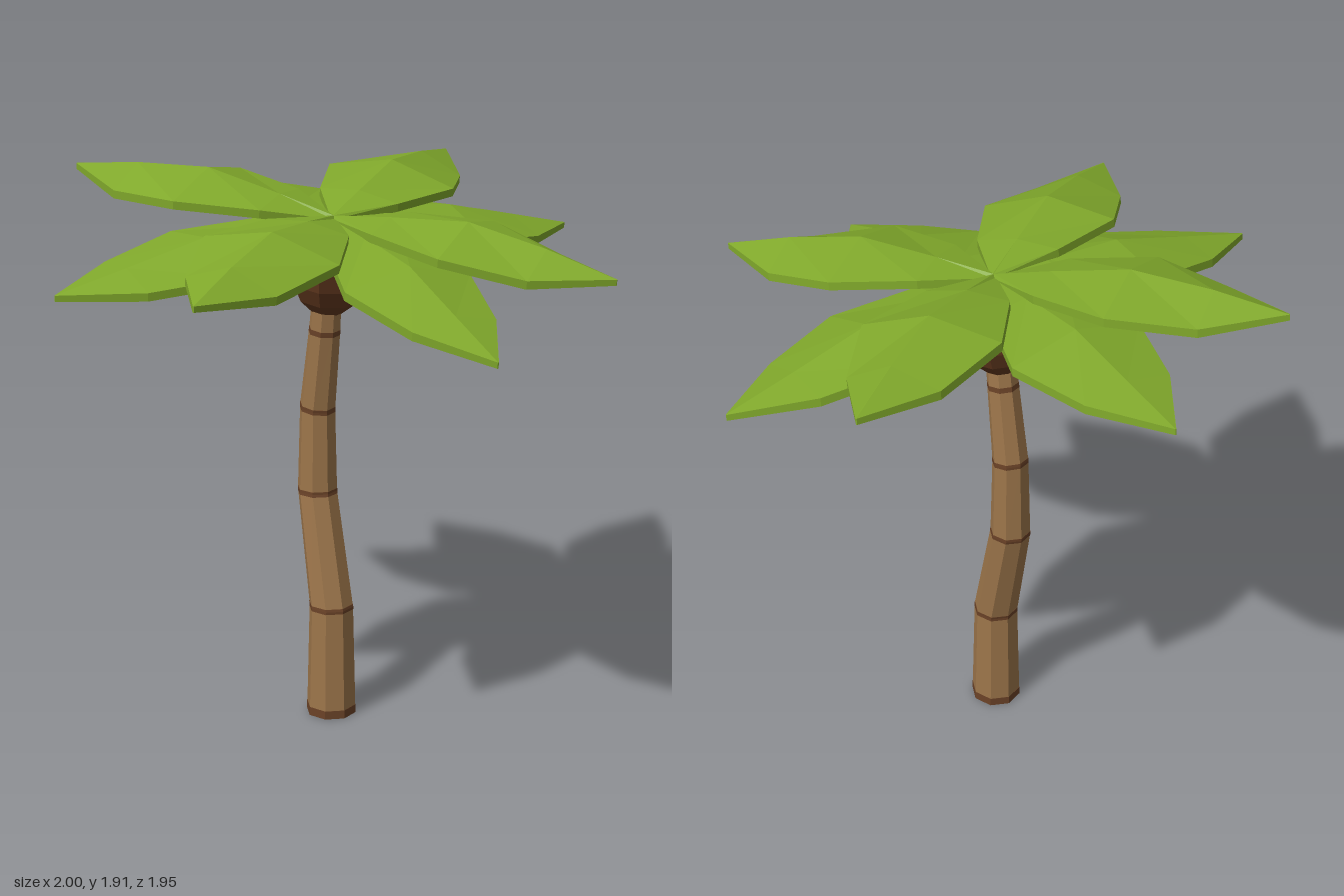
import * as THREE from 'three';

const mat = (color) => new THREE.MeshStandardMaterial({ color, flatShading: true });
const BARK = mat(0x9c754a), RING = mat(0x6a4227), CORE = mat(0x63391f), LEAF = mat(0x80a82b);

function addMesh(parent, name, geo, material) {
  const flat = geo.index ? geo.toNonIndexed() : geo;
  flat.computeVertexNormals();
  const mesh = new THREE.Mesh(flat, material);
  mesh.name = name;
  parent.add(mesh);
  return mesh;
}

// Trunk sections: height, centre z, radius, backward slope of the section
const TRUNK = [
  [0, 0.008, 0.088, 0],
  [0.4, 0.008, 0.078, 0],
  [0.8, -0.085, 0.07, 0],
  [1.1, -0.083, 0.062, 0.15],
  [1.38, -0.036, 0.054, 0.13],
  [1.52, -0.018, 0.05, 0.13],
];

// Section at any height, interpolated between the trunk sections
function sectionAt(y) {
  let i = 0;
  while (i < TRUNK.length - 2 && y > TRUNK[i + 1][0]) i++;
  const a = TRUNK[i], b = TRUNK[i + 1];
  const t = (y - a[0]) / (b[0] - a[0]);
  return a.map((v, k) => v + (b[k] - v) * t);
}

// Eight-sided column through a list of sections
function column(sections, grow = 1) {
  const n = sections.length - 1;
  const geo = new THREE.CylinderGeometry(1, 1, 1, 8, n);
  const p = geo.attributes.position;
  for (let i = 0; i < p.count; i++) {
    const [y, cz, r, slope] = sections[Math.round((p.getY(i) + 0.5) * n)];
    const z = p.getZ(i) * r * grow;
    p.setXYZ(i, p.getX(i) * r * grow - 0.008, y - z * slope, cz + z);
  }
  return geo;
}

// Leaf stations along its length: distance, half width
const STATIONS = [[0, 0.01], [0.2, 0.145], [0.47, 0.235], [0.74, 0.155], [0.98, 0.002]];

// Solid folded leaf pointing along +x, with a ridge line and lower side edges
function leaf(ridge, edge) {
  const pos = [], idx = [];
  STATIONS.forEach(([u, w], i) => {
    const thick = i === 4 ? 0.02 : 0.028;
    for (const drop of [0, thick])
      for (const s of [-1, 0, 1]) pos.push(u, (s ? edge[i] : ridge[i]) - drop, s * w);
  });
  const quad = (a, b, c, d) => idx.push(a, b, c, a, c, d);
  for (let i = 0; i < 4; i++) {
    const a = i * 6, b = a + 6;
    for (let j = 0; j < 2; j++) {
      quad(a + j, a + j + 1, b + j + 1, b + j); // top
      quad(b + j + 3, b + j + 4, a + j + 4, a + j + 3); // underside
    }
    quad(a + 2, a + 5, b + 5, b + 2); // side rims
    quad(b, b + 3, a + 3, a);
  }
  quad(0, 3, 4, 1); // ends
  quad(1, 4, 5, 2);
  quad(25, 28, 27, 24);
  quad(26, 29, 28, 25);
  const geo = new THREE.BufferGeometry();
  geo.setAttribute('position', new THREE.Float32BufferAttribute(pos, 3));
  geo.setIndex(idx);
  return geo;
}

export function createModel() {
  const palm = new THREE.Group();
  palm.name = 'palmTree';

  // Bent trunk with dark growth rings
  const trunk = new THREE.Group();
  trunk.name = 'trunk';
  palm.add(trunk);
  addMesh(trunk, 'trunkColumn', column([sectionAt(0.015), ...TRUNK.slice(1)]), BARK);
  addMesh(trunk, 'baseRing', column([0, 0.03].map(sectionAt), 1.01), RING);
  for (const y of [0.4, 0.8, 1.1, 1.38])
    addMesh(trunk, 'trunkRing', column([y - 0.009, y, y + 0.009].map(sectionAt), 1.012), RING);

  // Crown, leaning forward as a whole
  const crown = new THREE.Group();
  crown.name = 'crown';
  crown.position.set(0, 1.77, 0.008);
  crown.rotation.x = 0.13;
  palm.add(crown);

  // Rounded heart beneath the leaves
  const profile = [[0, -0.335], [0.05, -0.33], [0.105, -0.28], [0.135, -0.22],
    [0.152, -0.13], [0.09, -0.05], [0, -0.04]];
  addMesh(crown, 'crownHeart',
    new THREE.LatheGeometry(profile.map(([r, y]) => new THREE.Vector2(r, y)), 8), CORE);

  // Four drooping lower leaves and four raised upper leaves
  const lower = leaf([0, 0, -0.01, -0.08, -0.14], [0, -0.02, -0.065, -0.11, -0.14]);
  const upper = leaf([0.01, 0.045, 0.085, 0.05, 0], [0, 0.025, 0.025, -0.012, 0]);
  const place = (name, geo, degrees, length) => {
    const mesh = addMesh(crown, name, geo, LEAF);
    mesh.rotation.y = THREE.MathUtils.degToRad(degrees);
    mesh.scale.x = length;
  };
  [2.5, 90, 180, 270].forEach((d, i) => place('lowerLeaf', lower, d, i % 2 ? 1 : 1.02));
  [34.4, 123.5, 214.6, 303.4].forEach((d) => place('upperLeaf', upper, d, 1.01));
  return palm;
}
